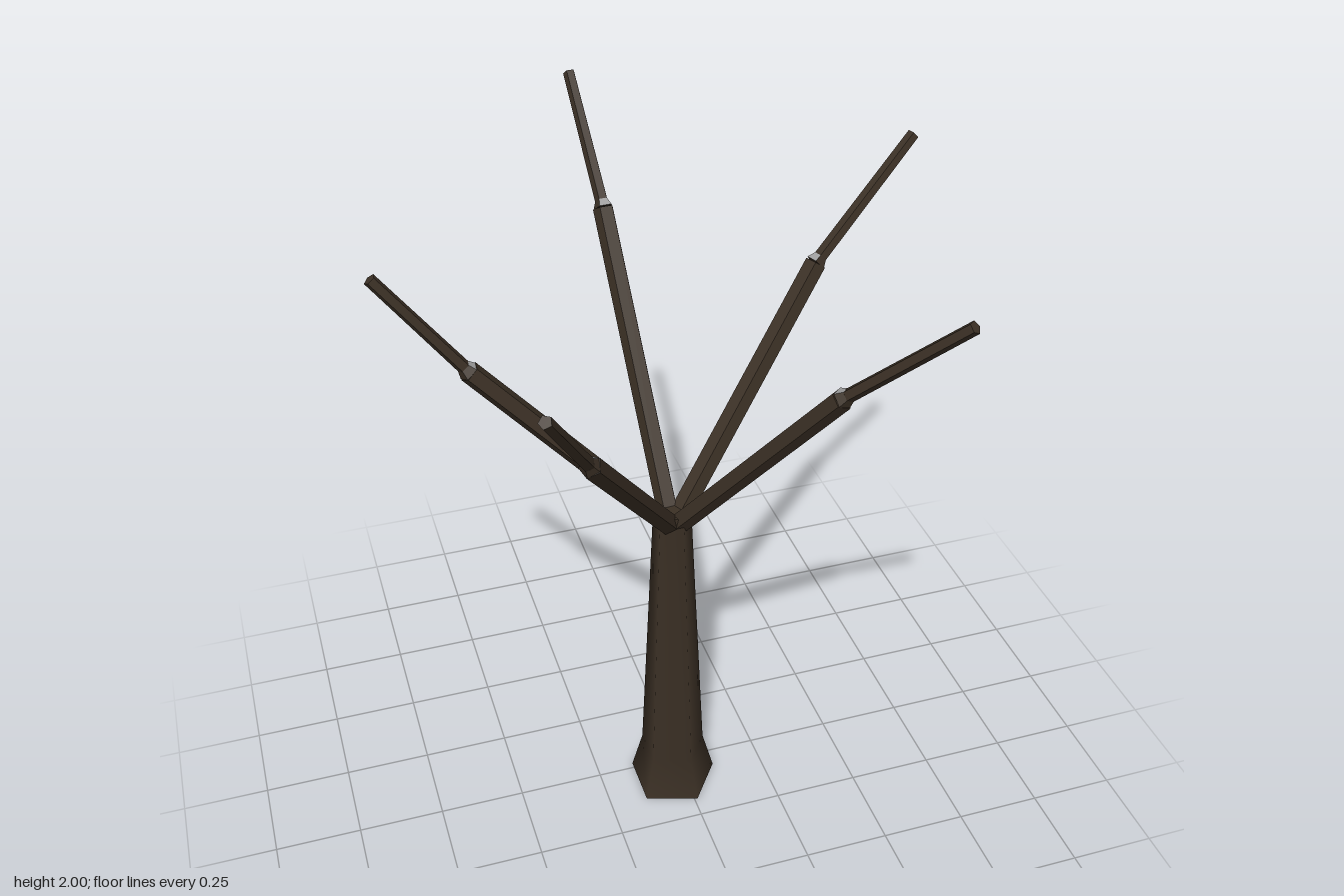
import * as THREE from 'three';

const wood = new THREE.MeshStandardMaterial({ color: 0x3b3025 });
wood.name = 'dark bark';
const pale = new THREE.MeshStandardMaterial({ color: 0xa0a0a0 });
pale.name = 'pale joint';

const SIDES = 5;
const CENTRE = new THREE.Vector3(-0.032, 0, 0.06);

function add(parent, name, geometry, material) {
  const mesh = new THREE.Mesh(geometry, material);
  mesh.name = name;
  parent.add(mesh);
  return mesh;
}

// Five-sided limb between two points, with one flat face turned upward
function limb(from, to, r0, r1) {
  const y = to.clone().sub(from);
  const length = y.length();
  y.normalize();
  const z = new THREE.Vector3(0, 1, 0).addScaledVector(y, -y.y).normalize();
  const x = y.clone().cross(z);
  const geo = new THREE.CylinderGeometry(r1, r0, length, SIDES, 1, false, -Math.PI / SIDES);
  const m = new THREE.Matrix4().makeBasis(x, y, z);
  m.setPosition(from.clone().add(to).multiplyScalar(0.5));
  const flat = geo.applyMatrix4(m).toNonIndexed();
  flat.computeVertexNormals();
  flat.clearGroups();
  return flat;
}

function makeTrunk() {
  const trunk = new THREE.Group();
  trunk.name = 'trunk';
  trunk.position.copy(CENTRE);
  const profile = [[0.133, 0], [0.098, 0.135], [0.055, 1.03]].map(p => new THREE.Vector2(...p));
  add(trunk, 'trunkSides', new THREE.LatheGeometry(profile, SIDES, Math.PI / 2), wood);
  add(trunk, 'trunkTop', new THREE.CircleGeometry(0.055, SIDES).rotateX(-Math.PI / 2), wood).position.y = 1.03;
  add(trunk, 'trunkBottom', new THREE.CircleGeometry(0.133, SIDES).rotateX(Math.PI / 2), wood);
  return trunk;
}

function makeBranch(name, elbow, tip) {
  const branch = new THREE.Group();
  branch.name = name;
  const out = elbow.clone().sub(CENTRE).setY(0).normalize();
  const start = CENTRE.clone().addScaledVector(out, 0.022).setY(0.995);
  const twigDir = tip.clone().sub(elbow).normalize();
  const neck = elbow.clone().addScaledVector(twigDir, 0.022);

  add(branch, 'bough', limb(start, elbow, 0.031, 0.03), wood);
  // Tapered shoulder with a pale upper face
  const shoulder = limb(elbow, neck, 0.029, 0.019);
  shoulder.addGroup(0, 6, 1);
  shoulder.addGroup(6, shoulder.attributes.position.count - 6, 0);
  add(branch, 'shoulder', shoulder, [wood, pale]);
  add(branch, 'twig', limb(elbow, tip, 0.019, 0.017), wood);
  return branch;
}

export function createModel() {
  const tree = new THREE.Group();
  tree.name = 'bareTree';
  tree.add(makeTrunk());
  const v = (x, y, z) => new THREE.Vector3(x, y, z);
  // Elbow and tip of each branch
  const branches = [
    ['backBranch', v(-0.065, 1.705, -0.455), v(-0.08, 1.99, -0.73)],
    ['leftBranch', v(0.445, 1.605, -0.155), v(0.757, 1.89, -0.265)],
    ['rightBranch', v(-0.55, 1.548, 0.02), v(-0.765, 1.832, -0.003)],
    ['frontRightBranch', v(-0.36, 1.518, 0.465), v(-0.506, 1.805, 0.678)],
    ['frontLeftBranch', v(0.258, 1.598, 0.488), v(0.457, 1.887, 0.72)],
  ];
  for (const b of branches) tree.add(makeBranch(...b));
  return tree;
}
